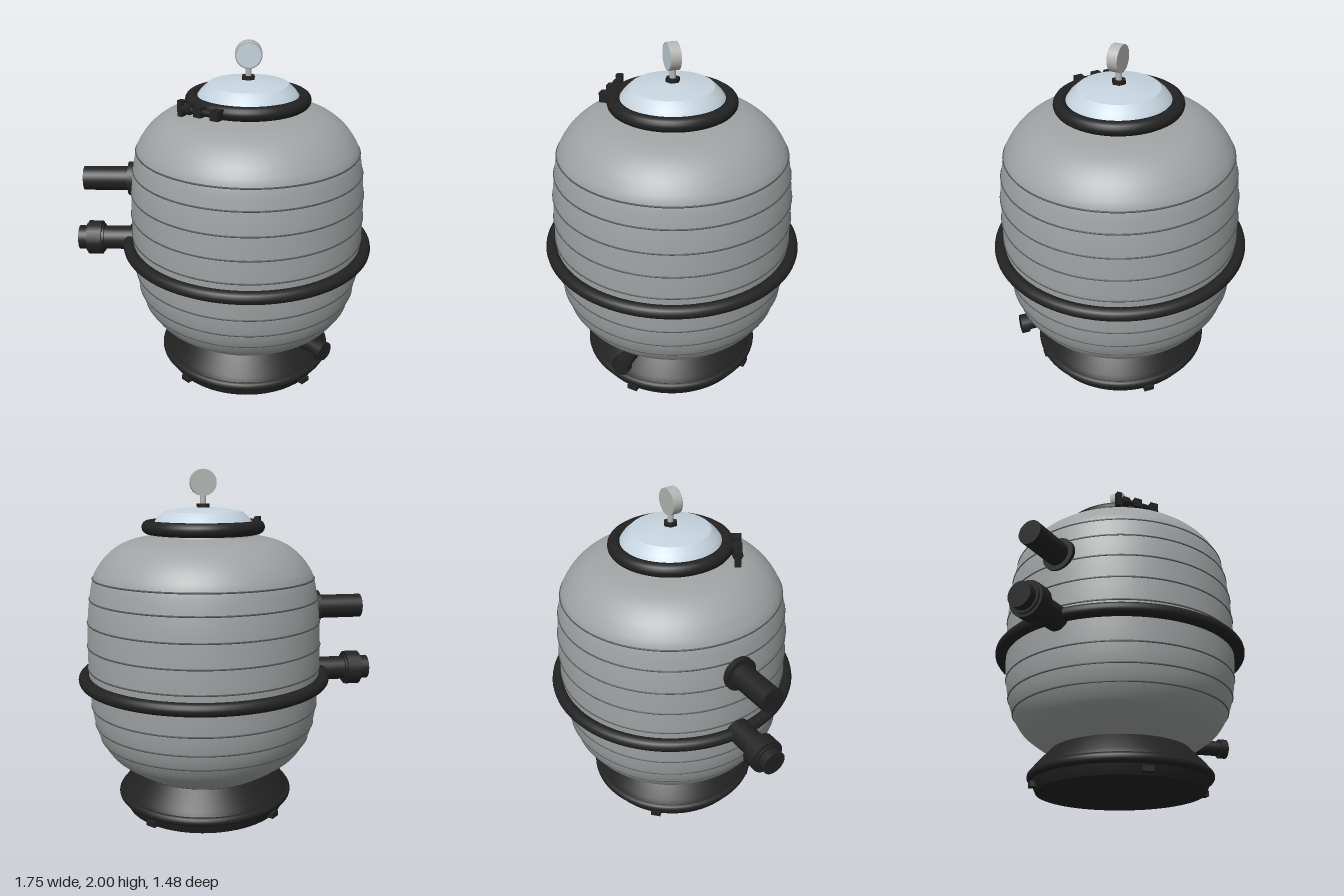
import * as THREE from 'three';
import { toCreasedNormals } from 'three/addons/utils/BufferGeometryUtils.js';

const mat = (name, color) => new THREE.MeshStandardMaterial({ name, color });

export function createModel() {
  const grey = mat('tank grey', 0x9fa3a3);
  const seam = mat('seam grey', 0x565a5a);
  const black = mat('black plastic', 0x222222);
  const glass = mat('pale lid', 0xc6d4de);
  const metal = mat('gauge metal', 0xb4b6b4);

  const model = new THREE.Group();
  model.name = 'sandFilterTank';
  // everything is placed around the tank's axis
  const tank = new THREE.Group();
  tank.name = 'tank';
  tank.position.x = 0.133;
  model.add(tank);

  const add = (name, geo, material, x = 0, y = 0, z = 0, parent = tank) => {
    const m = new THREE.Mesh(geo, material);
    m.name = name;
    m.position.set(x, y, z);
    parent.add(m);
    return m;
  };
  const vec = (pts) => pts.map(([x, y]) => new THREE.Vector2(x, y));
  const lathe = (pts) => toCreasedNormals(new THREE.LatheGeometry(pts, 72), 0.5);
  const hoop = (name, r, tube, y, material, sides = 16) => {
    add(name, new THREE.TorusGeometry(r, tube, sides, 96), material, 0, y).rotation.x = Math.PI / 2;
  };
  // cylinder lying along x
  const rod = (name, r, x0, x1, y, z, parent, material = black, sides = 32) => {
    const m = add(name, new THREE.CylinderGeometry(r, r, x1 - x0, sides), material, (x0 + x1) / 2, y, z, parent);
    m.rotation.z = Math.PI / 2;
    return m;
  };

  // tank body: swept profile, bottom to neck
  const profile = new THREE.SplineCurve(vec([
    [0.36, 0.21], [0.43, 0.25], [0.505, 0.3], [0.57, 0.355], [0.622, 0.44], [0.652, 0.53], [0.67, 0.64],
    [0.68, 0.8], [0.683, 0.95], [0.677, 1.14], [0.663, 1.27], [0.64, 1.39], [0.608, 1.455],
    [0.56, 1.515], [0.49, 1.57], [0.405, 1.605], [0.275, 1.63],
  ]));
  const bodyPts = profile.getPoints(64);
  add('body', new THREE.LatheGeometry([...bodyPts, new THREE.Vector2(0.275, 1.69)], 96), grey);

  // thin horizontal seams on the body
  for (const y of [0.44, 0.53, 0.64, 0.87, 1.005, 1.14, 1.275, 1.39]) {
    const i = bodyPts.findIndex((p) => p.y >= y);
    const a = bodyPts[i - 1], b = bodyPts[i];
    hoop('bodySeam', a.x + (b.x - a.x) * (y - a.y) / (b.y - a.y), 0.005, y, seam, 6);
  }
  hoop('middleBand', 0.705, 0.037, 0.802, black);

  // base with flared skirt, rim and four tabs
  add('base', lathe(vec([
    [0, 0], [0.475, 0], [0.5, 0.055], [0.505, 0.11], [0.49, 0.135], [0.4, 0.23], [0, 0.232],
  ])), black);
  hoop('baseRim', 0.497, 0.028, 0.082, black);
  for (let i = 0; i < 4; i++) {
    const a = Math.PI / 4 + i * Math.PI / 2;
    const tab = add('baseTab', new THREE.BoxGeometry(0.06, 0.03, 0.06), black, Math.cos(a) * 0.485, 0.027, Math.sin(a) * 0.485);
    tab.rotation.y = -a;
  }

  // domed lid and its clamp ring
  add('lid', lathe(vec([
    [0.3, 1.67], [0.285, 1.7], [0.265, 1.727], [0.225, 1.763], [0.15, 1.776], [0.07, 1.785], [0, 1.788],
  ])), glass);
  hoop('clampRing', 0.315, 0.039, 1.676, black);

  // clamp bolt, tangent to the ring
  const bolt = new THREE.Group();
  bolt.name = 'clampBolt';
  bolt.position.set(-0.213, 1.676, 0.3);
  bolt.rotation.y = -0.6;
  tank.add(bolt);
  rod('boltShaft', 0.017, -0.19, 0.07, 0, 0, bolt, black, 16);
  for (const x of [-0.055, 0.055]) add('clampLug', new THREE.BoxGeometry(0.05, 0.055, 0.07), black, x, 0, -0.008, bolt);
  rod('boltNut', 0.03, -0.15, -0.11, 0, 0, bolt, black, 6);
  add('wingHandle', new THREE.BoxGeometry(0.03, 0.088, 0.036), black, -0.178, 0, 0, bolt);

  // pressure gauge
  add('gaugeNut', new THREE.CylinderGeometry(0.04, 0.04, 0.026, 6), black, 0, 1.794);
  add('gaugeStem', new THREE.CylinderGeometry(0.017, 0.017, 0.08, 20), metal, 0, 1.835);
  add('gaugeCase', new THREE.CylinderGeometry(0.075, 0.075, 0.056, 40), metal, 0, 1.925, 0.003).rotation.x = Math.PI / 2;
  add('gaugeBezel', new THREE.TorusGeometry(0.069, 0.006, 8, 40), metal, 0, 1.925, 0.03);
  add('gaugeFace', new THREE.CylinderGeometry(0.067, 0.067, 0.006, 40), glass, 0, 1.925, 0.032).rotation.x = Math.PI / 2;

  // side pipes on the model's right
  rod('upperPipe', 0.07, -0.955, -0.62, 1.19, 0, tank);
  rod('upperFlange', 0.098, -0.693, -0.655, 1.19, 0, tank);
  rod('lowerPipe', 0.071, -1.013, -0.62, 0.802, 0, tank);
  rod('lowerUnion', 0.102, -0.955, -0.872, 0.802, 0, tank, black, 16);
  rod('unionStep', 0.085, -0.967, -0.86, 0.802, 0, tank);

  // drain near the bottom, facing front left
  const drain = new THREE.Group();
  drain.name = 'drain';
  drain.rotation.y = -Math.PI / 4;
  tank.add(drain);
  rod('drainPipe', 0.043, 0.4, 0.62, 0.3, 0, drain, black, 24);
  rod('drainCap', 0.056, 0.6, 0.645, 0.3, 0, drain, black, 16);

  return model;
}
